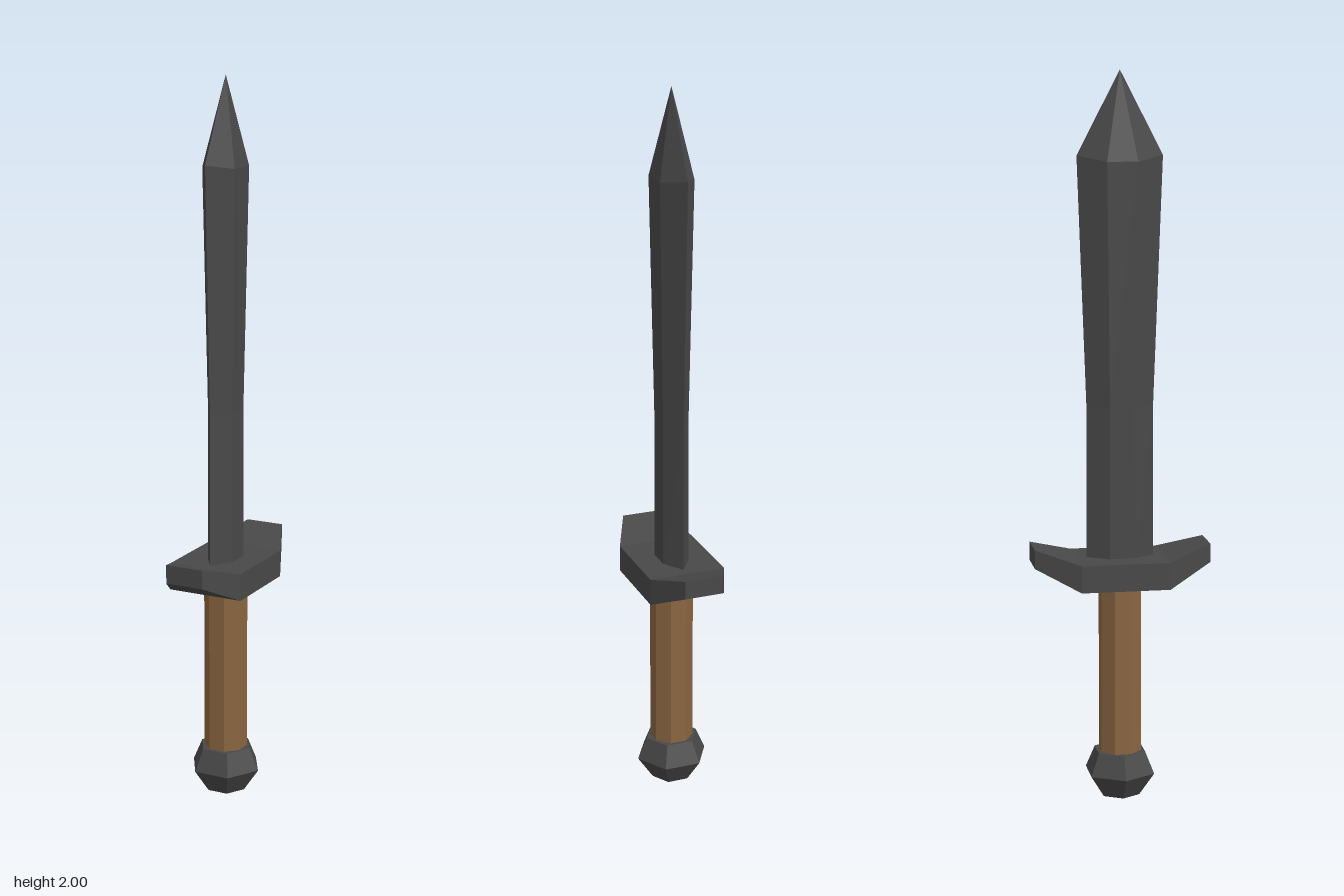
import * as THREE from 'three';

const metal = new THREE.MeshStandardMaterial({ color: 0x484848, flatShading: true });
const wood = new THREE.MeshStandardMaterial({ color: 0x8a6540, flatShading: true });

// Skins a list of equal-length rings of [x, y, z] and closes both ends.
function loft(rings) {
  const n = rings[0].length;
  const index = [];
  for (let r = 0; r < rings.length - 1; r++) {
    for (let i = 0; i < n; i++) {
      const a = r * n + i, b = r * n + (i + 1) % n;
      index.push(a, b, b + n, a, b + n, a + n);
    }
  }
  const last = (rings.length - 1) * n;
  for (let i = 1; i < n - 1; i++) {
    index.push(0, i + 1, i, last, last + i, last + i + 1);
  }
  const geometry = new THREE.BufferGeometry();
  geometry.setAttribute('position', new THREE.Float32BufferAttribute(rings.flat(2), 3));
  geometry.setIndex(index);
  const flat = geometry.toNonIndexed();
  flat.computeVertexNormals();
  return flat;
}

// Hexagonal blade section: cutting edges on +z and -z, flat faces on the sides.
function bladeRing(y, halfX, halfZ, flatZ, edgeY = y) {
  return [
    [0, edgeY, halfZ], [halfX, y, flatZ], [halfX, y, -flatZ],
    [0, edgeY, -halfZ], [-halfX, y, -flatZ], [-halfX, y, flatZ],
  ];
}

// Rectangular guard section across z.
function guardRing(z, halfX, bottom, top) {
  return [[-halfX, bottom, z], [halfX, bottom, z], [halfX, top, z], [-halfX, top, z]];
}

export function createModel() {
  const group = new THREE.Group();
  const add = (name, geometry, material) => {
    const mesh = new THREE.Mesh(geometry, material);
    mesh.name = name;
    group.add(mesh);
    return mesh;
  };

  // Blade flares towards the top, then closes to a point
  add('blade', loft([
    bladeRing(0.66, 0.038, 0.093, 0.034),
    bladeRing(1.1, 0.037, 0.092, 0.033),
    bladeRing(1.76, 0.048, 0.117, 0.042, 1.775),
    bladeRing(2, 0, 0, 0),
  ]), metal);

  // Crossguard with raised, tapered tips
  add('crossguard', loft([
    guardRing(-0.243, 0.054, 0.665, 0.717),
    guardRing(-0.122, 0.108, 0.605, 0.68),
    guardRing(0.122, 0.108, 0.605, 0.68),
    guardRing(0.243, 0.054, 0.665, 0.717),
  ]), metal);

  // Octagonal grip with flats facing front and sides
  const grip = new THREE.CylinderGeometry(0.06, 0.06, 0.51, 8);
  grip.rotateY(Math.PI / 8);
  add('grip', grip, wood).position.y = 0.365;

  // Six-sided pommel with corners on the x axis
  const profile = [[0, 0], [0.058, 0], [0.102, 0.065], [0.075, 0.127], [0, 0.127]];
  const pommel = new THREE.LatheGeometry(profile.map(([x, y]) => new THREE.Vector2(x, y)), 6);
  pommel.rotateY(Math.PI / 2);
  add('pommel', pommel, metal);

  return group;
}
